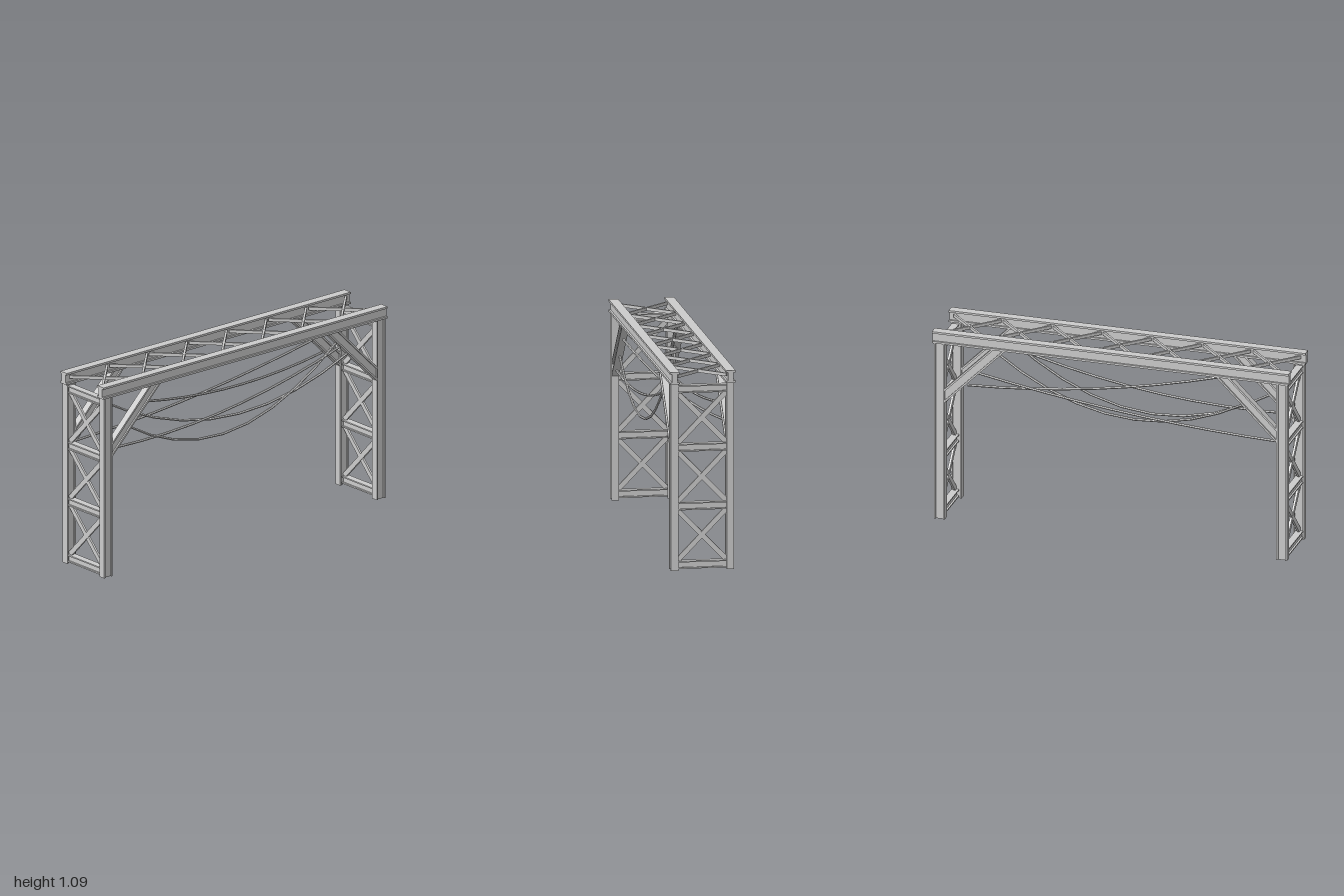
import * as THREE from 'three';

const grey = new THREE.MeshStandardMaterial({ color: 0xcccccc, flatShading: true });

// I-shaped section: height h along y, width w along x, extruded along z and centred
function iBeam(len, h, w, flange, web) {
  const a = w / 2, b = h / 2, c = web / 2, d = b - flange;
  const pts = [[-a, -b], [a, -b], [a, -d], [c, -d], [c, d], [a, d],
    [a, b], [-a, b], [-a, d], [-c, d], [-c, -d], [-a, -d]];
  const shape = new THREE.Shape(pts.map(p => new THREE.Vector2(...p)));
  return new THREE.ExtrudeGeometry(shape, { depth: len, bevelEnabled: false }).translate(0, 0, -len / 2);
}

// Flat polygon in x-y, extruded to a thickness centred on z
function plate(pts, depth, z) {
  const shape = new THREE.Shape(pts.map(p => new THREE.Vector2(...p)));
  return new THREE.ExtrudeGeometry(shape, { depth, bevelEnabled: false }).translate(0, 0, z - depth / 2);
}

export function createModel() {
  const model = new THREE.Group();
  const add = (name, geo, parent = model) => {
    const mesh = new THREE.Mesh(geo, grey);
    mesh.name = name;
    parent.add(mesh);
    return mesh;
  };

  // Two long top beams
  for (const z of [-0.152, 0.152]) {
    add('topBeam', iBeam(2, 0.067, 0.052, 0.011, 0.03).rotateY(Math.PI / 2).translate(0, 1.0535, z));
  }

  // Lattice of crossed bars between the top beams
  const lattice = new THREE.Group();
  lattice.name = 'topLattice';
  model.add(lattice);
  for (let i = -3; i <= 3; i++) {
    for (const s of [-1, 1]) {
      const bar = add('latticeBar', new THREE.BoxGeometry(0.375, 0.017, 0.012), lattice);
      bar.position.set(i * 0.28, 1.06 + s * 0.0005, 0);
      bar.rotation.y = s * Math.atan2(0.26, 0.255);
    }
  }

  for (const side of [-1, 1]) {
    const tower = new THREE.Group();
    tower.name = side > 0 ? 'leftTower' : 'rightTower';
    model.add(tower);

    for (const z of [-0.152, 0.152]) {
      // Upright post, flanges facing along x
      add('post', iBeam(1.021, 0.06, 0.04, 0.009, 0.024)
        .rotateX(-Math.PI / 2).rotateY(Math.PI / 2).translate(side * 0.96, 0.5105, z), tower);

      // Knee brace cut flush with the post and the top beam
      const strip = (lo, hi) => [[0.93, lo], [0.93, hi], [hi - 0.09, 1.022], [lo - 0.09, 1.022]];
      const brace = new THREE.Group();
      brace.name = 'kneeBrace';
      tower.add(brace);
      [[0.68, 0.694, 0.04], [0.694, 0.746, 0.022], [0.746, 0.76, 0.04]].forEach(([lo, hi, depth]) => {
        // The 45 degree edge meets the beam underside where x + y stays constant
        const pts = strip(lo, hi).map(([x, y], k) => [side * (k < 2 ? x : 0.93 - (1.022 - (k === 2 ? hi : lo))), y]);
        add('bracePart', plate(pts, depth, z), brace);
      });
    }

    // Cross members between the posts
    for (let i = 0; i < 4; i++) {
      add('crossMember', iBeam(0.27, 0.042, 0.04, 0.007, 0.02)
        .translate(side * 0.965, 0.03 + i * 0.32, 0), tower);
    }

    // Crossed bars in each bay
    for (let i = 0; i < 3; i++) {
      for (const s of [-1, 1]) {
        const bar = add('crossBar', new THREE.BoxGeometry(0.012, 0.027, 0.385), tower);
        bar.position.set(side * 0.965 + s * 0.001, 0.19 + i * 0.32, 0);
        bar.rotation.x = s * Math.atan2(0.28, 0.27);
      }
    }
  }

  // Sagging cables: start, end, sag
  const cables = [
    [[-0.68, 0.93, 0.15], [0.81, 0.785, -0.14], 0.055],
    [[-0.74, 0.867, -0.14], [0.74, 0.87, 0.145], 0.225],
    [[-0.80, 0.815, 0.15], [0.66, 0.955, 0.15], 0.262],
    [[-0.935, 0.68, -0.15], [0.75, 0.866, -0.15], 0.035],
    [[-0.89, 0.717, 0.15], [0.69, 0.925, 0.15], 0.07],
  ];
  for (const [a, b, sag] of cables) {
    const start = new THREE.Vector3(...a), end = new THREE.Vector3(...b);
    const path = new THREE.CurvePath();
    const at = t => {
      const p = start.clone().lerp(end, t);
      p.y -= 4 * sag * t * (1 - t);
      return p;
    };
    const n = 9;
    path.curves.push(new THREE.CatmullRomCurve3(Array.from({ length: n + 1 }, (_, i) => at(i / n))));
    add('cable', new THREE.TubeGeometry(path.curves[0], n, 0.007, 6));
  }

  return model;
}
